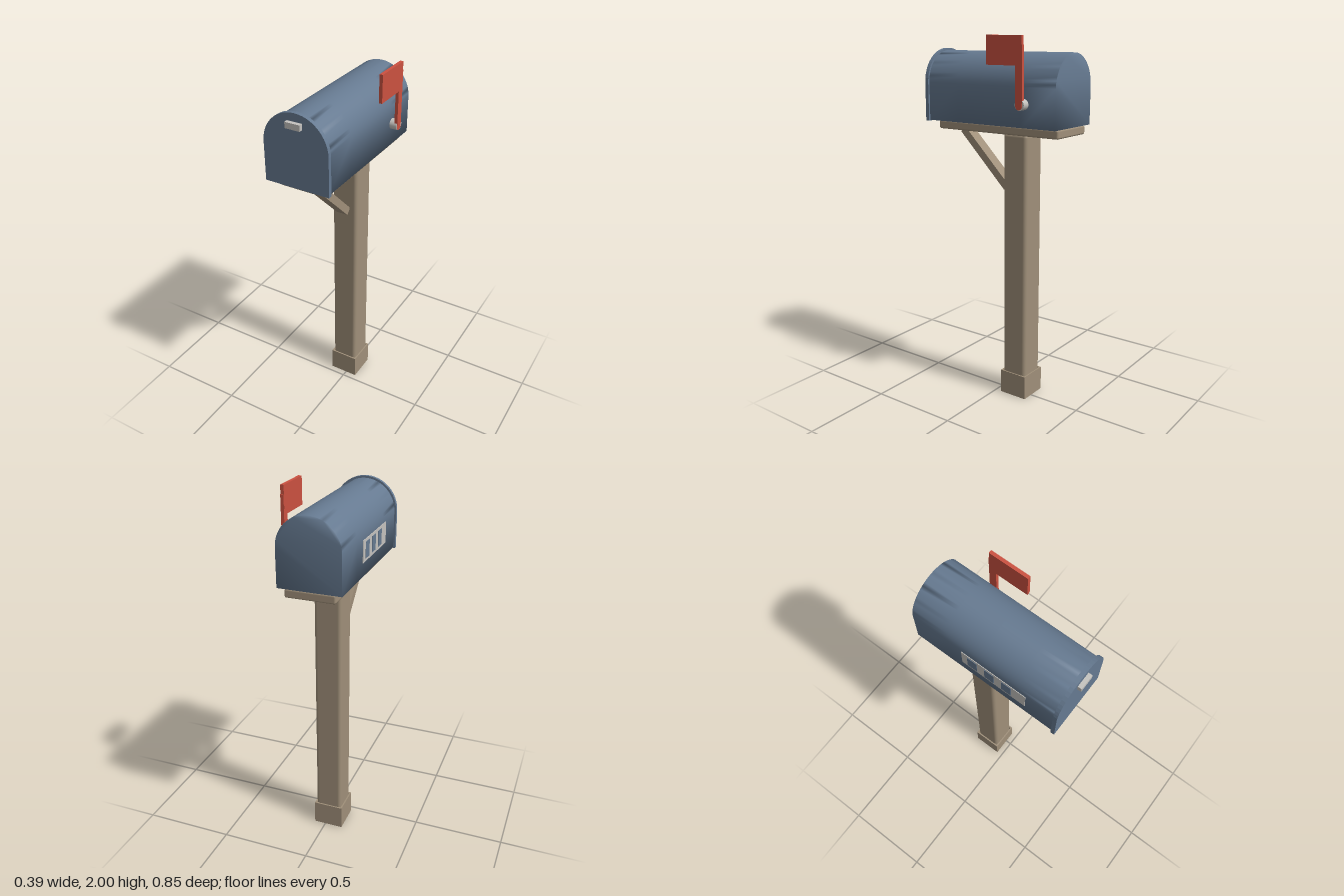
import * as THREE from 'three';
import { mergeVertices } from 'three/addons/utils/BufferGeometryUtils.js';
import { RoundedBoxGeometry } from 'three/addons/geometries/RoundedBoxGeometry.js';

const CX = -0.018; // centre line of post and box

function paint(name, color) {
  const m = new THREE.MeshStandardMaterial({ color });
  m.name = name;
  return m;
}

// Flat-bottomed arch, radius r, springing at height h above its base
function archShape(r, h) {
  const s = new THREE.Shape();
  s.moveTo(-r, 0);
  s.lineTo(r, 0);
  s.lineTo(r, h);
  s.absarc(0, h, r, 0, Math.PI, false);
  s.closePath();
  return s;
}

// Fully shared normals, so shading flows softly over the edges
function soften(geometry) {
  geometry.deleteAttribute('normal');
  geometry.deleteAttribute('uv');
  const g = mergeVertices(geometry, 1e-4);
  g.computeVertexNormals();
  return g;
}

export function createModel() {
  const blue = paint('blueGreyMetal', 0x667a91);
  const wood = paint('wood', 0x9f8f79);
  const red = paint('redFlag', 0xcb5140);
  const grey = paint('lightGrey', 0xc4c2be);

  const model = new THREE.Group();
  model.name = 'mailbox';
  const add = (name, geometry, material, x = 0, y = 0, z = 0, parent = model) => {
    const mesh = new THREE.Mesh(geometry, material);
    mesh.name = name;
    mesh.position.set(x, y, z);
    parent.add(mesh);
    return mesh;
  };
  // Box given by its lower and upper corners
  const block = (name, material, a, b, parent) => add(name,
    new THREE.BoxGeometry(b[0] - a[0], b[1] - a[1], b[2] - a[2]), material,
    (a[0] + b[0]) / 2, (a[1] + b[1]) / 2, (a[2] + b[2]) / 2, parent);

  // Post
  add('post', new RoundedBoxGeometry(0.15, 1.475, 0.15, 2, 0.02), wood, CX, 0.7625, -0.118);

  // Hollow collar around the foot of the post
  const collar = new THREE.Shape();
  const hole = new THREE.Path();
  for (const [path, s] of [[collar, 0.083], [hole, 0.073]]) {
    path.moveTo(-s, -s);
    path.lineTo(s, -s);
    path.lineTo(s, s);
    path.lineTo(-s, s);
    path.closePath();
  }
  collar.holes.push(hole);
  const collarGeo = new THREE.ExtrudeGeometry(collar, { depth: 0.135, bevelEnabled: false });
  collarGeo.rotateX(-Math.PI / 2);
  add('postCollar', collarGeo, wood, CX, 0, -0.118);

  // Shelf and diagonal brace
  add('shelf', new RoundedBoxGeometry(0.265, 0.047, 0.77, 1, 0.01), wood, CX, 1.523, -0.035);
  const brace = add('brace', new THREE.BoxGeometry(0.067, 0.042, 0.42), wood, CX - 0.002, 1.345, 0.114);
  brace.rotation.x = -Math.PI / 4;

  // Arched box
  add('body', soften(new THREE.ExtrudeGeometry(archShape(0.168, 0.202),
    { depth: 0.81, steps: 4, bevelEnabled: false, curveSegments: 14 })), blue, CX, 1.547, -0.425);

  // Door with its pull
  add('door', new THREE.ExtrudeGeometry(archShape(0.178, 0.207),
    { depth: 0.021, bevelEnabled: false, curveSegments: 12 }), blue, CX, 1.543, 0.382);
  block('doorPull', grey, [-0.058, 1.855, 0.4], [0.023, 1.886, 0.424]);

  // Panel on the right side with upright slots
  const sideX = CX - 0.168;
  block('sidePanel', grey, [sideX - 0.003, 1.62, -0.14], [sideX + 0.001, 1.735, 0.225]);
  for (let i = 0; i < 3; i++) {
    const z = -0.105 + i * 0.098;
    block('panelSlot', blue, [sideX - 0.005, 1.635, z], [sideX - 0.001, 1.72, z + 0.055]);
  }

  // Flag on its pivot
  const pivot = new THREE.CylinderGeometry(0.028, 0.028, 0.045, 16);
  pivot.rotateZ(Math.PI / 2);
  add('flagPivot', pivot, grey, 0.168, 1.665, -0.24);

  const flag = new THREE.Group();
  flag.name = 'flag';
  model.add(flag);
  const arm = new THREE.Shape();
  arm.moveTo(0.02, 0.295);
  arm.lineTo(-0.02, 0.295);
  arm.lineTo(-0.02, 0);
  arm.absarc(0, 0, 0.02, Math.PI, Math.PI * 2, false);
  arm.closePath();
  const armGeo = new THREE.ExtrudeGeometry(arm, { depth: 0.017, bevelEnabled: false, curveSegments: 8 });
  armGeo.rotateY(Math.PI / 2);
  add('flagArm', armGeo, red, 0.1755, 1.66, -0.237, flag);
  block('flagPlate', red, [0.175, 1.855, -0.253], [0.193, 2, -0.038], flag);

  return model;
}
